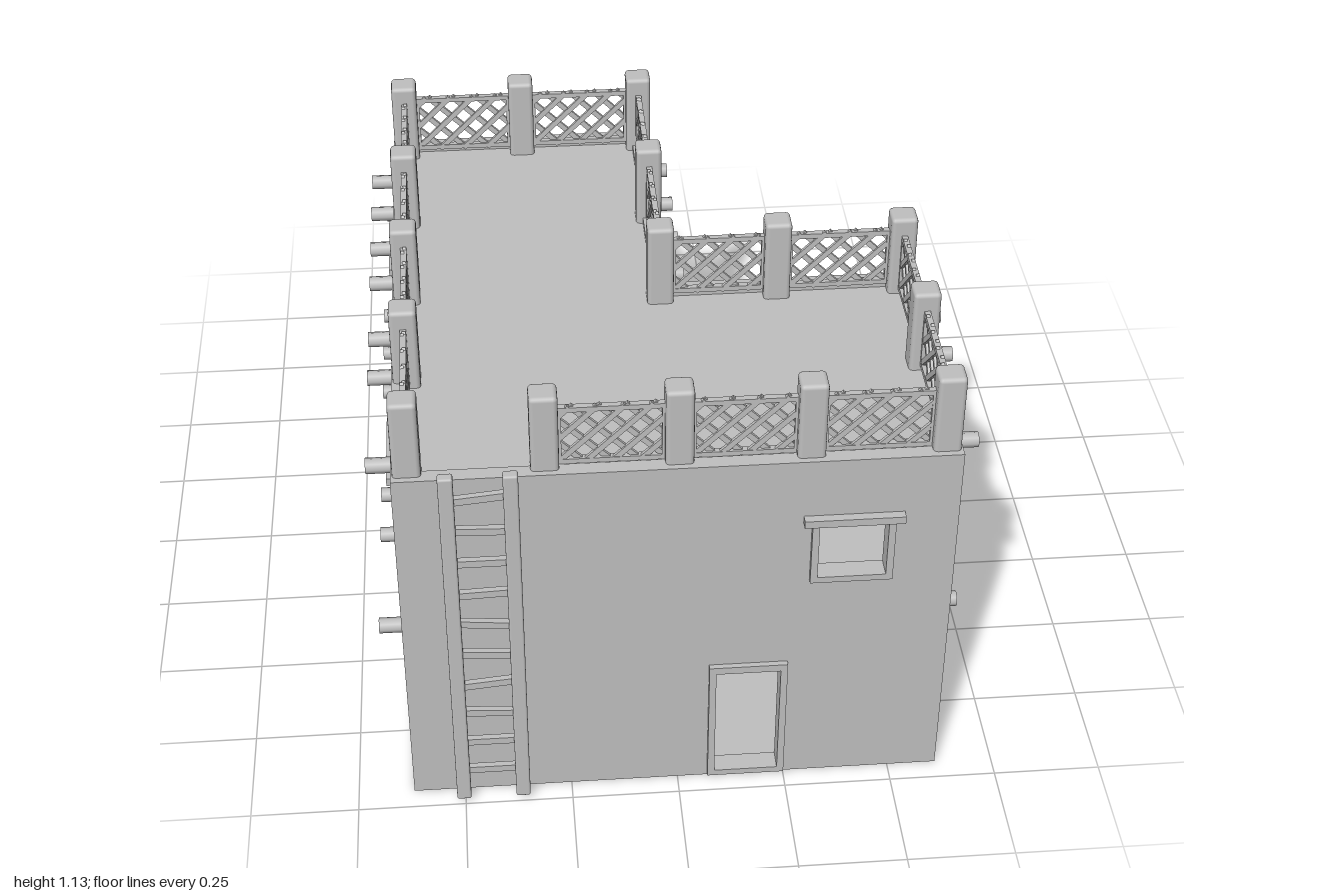
import * as THREE from 'three';
import { mergeGeometries } from 'three/addons/utils/BufferGeometryUtils.js';
import { RoundedBoxGeometry } from 'three/addons/geometries/RoundedBoxGeometry.js';

const adobe = new THREE.MeshStandardMaterial({ color: 0xbfbfbf });
adobe.name = 'adobe grey';

const T = 0.035; // wall thickness
const ROT = { front: 0, right: Math.PI / 2, back: Math.PI, left: -Math.PI / 2 };

function add(parent, name, geometry, x = 0, y = 0, z = 0) {
  const m = new THREE.Mesh(geometry, adobe);
  m.name = name;
  m.position.set(x, y, z);
  parent.add(m);
  return m;
}

// Box given by its minimum and maximum corners
function block(x0, x1, y0, y1, z0, z1) {
  return new THREE.BoxGeometry(x1 - x0, y1 - y0, z1 - z0)
    .translate((x0 + x1) / 2, (y0 + y1) / 2, (z0 + z1) / 2);
}

function rectPath(P, x0, x1, y0, y1) {
  const p = new P();
  p.moveTo(x0, y0); p.lineTo(x1, y0); p.lineTo(x1, y1); p.lineTo(x0, y1); p.closePath();
  return p;
}

// Raised surround of an opening; windows get a wider lintel
function surround(parent, o) {
  const { a, b, y0, y1, kind } = o, w = kind === 'slit' ? 0.007 : 0.016, d = 0.013;
  const parts = [
    block(a - w, a, y0, y1, -T, d), block(b, b + w, y0, y1, -T, d),
    block(a - w, b + w, y0 - w, y0, -T, d),
  ];
  const e = kind === 'window' ? 0.035 : w;
  parts.push(block(a - e, b + e, y1, y1 + w * 1.2, -T, kind === 'window' ? 0.02 : d));
  add(parent, kind + 'Frame', mergeGeometries(parts));
}

// Wall facing one side: 'at' is its plane, s0..s1 its span in world x or z
function wall(root, name, side, at, s0, s1, height, openings = [], beams = []) {
  const g = new THREE.Group();
  g.name = name;
  g.rotation.y = ROT[side];
  if (side === 'front' || side === 'back') g.position.z = at; else g.position.x = at;
  const sign = side === 'front' || side === 'left' ? 1 : -1;
  const span = (p, q) => [Math.min(sign * p, sign * q), Math.max(sign * p, sign * q)];
  const [u0, u1] = span(s0, s1);
  const shape = rectPath(THREE.Shape, u0, u1, 0, height);
  for (const [kind, p, q, y0, y1] of openings) {
    const [a, b] = span(p, q);
    shape.holes.push(rectPath(THREE.Path, a, b, y0, y1));
    surround(g, { a, b, y0, y1, kind });
  }
  add(g, name + 'Panel', new THREE.ExtrudeGeometry(shape, { depth: T, bevelEnabled: false }).translate(0, 0, -T));
  // Projecting roof beam ends
  for (const [y, length, list] of beams) for (const s of list) {
    const beam = new THREE.CylinderGeometry(0.018, 0.018, length + 0.02, 8).rotateX(Math.PI / 2);
    add(g, 'beamEnd', beam, sign * s, y, (length - 0.02) / 2);
  }
  root.add(g);
}

// Horizontal L-shaped slab inside the tall house
function slab(root, name, y0, y1) {
  const p = [[-0.615, 0.945], [0.61, 0.945], [0.61, 0.255], [0.025, 0.255], [0.025, -0.445], [-0.615, -0.445]];
  const shape = new THREE.Shape(p.map(([x, z]) => new THREE.Vector2(x, -z)));
  add(root, name, new THREE.ExtrudeGeometry(shape, { depth: y1 - y0, bevelEnabled: false }).rotateX(-Math.PI / 2), 0, y0, 0);
}

// Lattice panel of length w and height h, centred on x, standing on y = 0
function lattice(w, h) {
  const r = 0.012, t = 0.014, parts = [
    block(-w / 2, w / 2, 0, r, -t / 2, t / 2), block(-w / 2, w / 2, h - r, h, -t / 2, t / 2),
    block(-w / 2, -w / 2 + r, 0, h, -t / 2, t / 2), block(w / 2 - r, w / 2, 0, h, -t / 2, t / 2),
  ];
  const step = 0.06;
  for (let c = -h + step / 2; c < w; c += step) {
    const x0 = Math.max(0, c), x1 = Math.min(w, c + h);
    const len = (x1 - x0) * Math.SQRT2;
    if (len < 0.02) continue;
    for (const s of [1, -1]) {
      parts.push(new THREE.BoxGeometry(len, 0.013, 0.008).rotateZ(s * Math.PI / 4)
        .translate(s * ((x0 + x1) / 2 - w / 2), (x0 + x1) / 2 - c, s * 0.002));
    }
  }
  return mergeGeometries(parts);
}

export function createModel() {
  const root = new THREE.Group();
  root.name = 'adobeHouse';
  const H = 0.935, L = 0.475;

  // Tall house walls
  const wingZ = [0.83, 0.67, 0.51, 0.355];
  wall(root, 'frontWall', 'front', 0.95, -0.62, 0.615, H,
    [['door', 0.086, 0.234, 0.025, 0.335], ['window', 0.306, 0.459, 0.615, 0.765]]);
  wall(root, 'wingSideWall', 'right', 0.615, 0.25, 0.95, H, [
    ['window', 0.685, 0.83, 0.14, 0.285], ['slit', 0.487, 0.518, 0.13, 0.285],
    ['window', 0.352, 0.5, 0.615, 0.76]],
  [[0.88, 0.055, wingZ], [0.41, 0.042, wingZ]]);
  wall(root, 'wingBackWall', 'back', 0.25, 0.03, 0.615, H, [['door', 0.085, 0.23, 0.49, 0.81]]);
  wall(root, 'mainSideWall', 'right', 0.03, -0.45, 0.285, H, [['door', 0.09, 0.215, 0.03, 0.33]],
    [[0.88, 0.05, [0.135, -0.02, -0.18, -0.34]], [0.41, 0.05, [-0.18, -0.34]]]);
  wall(root, 'mainBackWall', 'back', -0.45, -0.62, 0.03, H, [['door', -0.365, -0.215, 0.49, 0.81]]);
  wall(root, 'mainLeftWall', 'left', -0.62, -0.45, 0.95, H, [
    ['window', -0.27, -0.12, 0.615, 0.76], ['window', 0.56, 0.71, 0.615, 0.76],
    ['slit', -0.39, -0.355, 0.13, 0.285]],
  [[0.88, 0.058, [0.82, 0.5, 0.35, 0.12, -0.03, -0.19, -0.34]],
    [0.41, 0.058, [0.82, 0.5, 0.35, -0.07, -0.24, -0.41]]]);
  slab(root, 'groundFloor', 0, 0.02);
  slab(root, 'upperFloor', 0.44, 0.465);
  slab(root, 'mainRoof', 0.895, 0.92);

  // Low back room
  const lowZ = [-0.57, -0.74, -0.91], lowWindow = [['window', -0.765, -0.615, 0.14, 0.285]];
  wall(root, 'lowSideWall', 'right', 0.042, -1, -0.44, L, lowWindow, [[0.41, 0.04, lowZ]]);
  wall(root, 'lowLeftWall', 'left', -0.625, -1, -0.44, L, lowWindow, [[0.41, 0.05, lowZ]]);
  wall(root, 'lowBackWall', 'back', -1, -0.625, 0.042, L);
  add(root, 'lowFloor', block(-0.62, 0.037, 0, 0.02, -0.995, -0.44));
  add(root, 'lowRoof', block(-0.62, 0.037, 0.43, 0.455, -0.995, -0.44));
  add(root, 'lowRoofInnerRim', block(-0.625, 0.042, 0.43, L, -0.465, -0.44));

  // Outside stair with an arched passage below the landing
  const stair = new THREE.Shape(), steps = 16, zTop = 0.09, zEnd = -0.515;
  stair.moveTo(-0.25, 0);
  stair.lineTo(-zEnd, 0);
  const run = (zTop - zEnd) / steps, rise = 0.47 / steps;
  for (let i = 0; i < steps; i++) {
    stair.lineTo(-zEnd - i * run, (i + 1) * rise);
    stair.lineTo(-zEnd - (i + 1) * run, (i + 1) * rise);
  }
  stair.lineTo(-0.25, 0.47);
  stair.closePath();
  const arch = new THREE.Path();
  arch.moveTo(-0.238, 0.02);
  arch.lineTo(-0.072, 0.02);
  arch.lineTo(-0.072, 0.315);
  arch.absarc(-0.155, 0.315, 0.083, 0, Math.PI, false);
  arch.closePath();
  stair.holes.push(arch);
  add(root, 'stair', new THREE.ExtrudeGeometry(stair, { depth: 0.247, bevelEnabled: false, curveSegments: 10 })
    .rotateY(Math.PI / 2), 0.028, 0, 0);

  // Roof railing: posts in order around the roof, lattice between them
  const posts = [
    [-0.29, 0.905], [0, 0.905], [0.285, 0.905], [0.58, 0.905], [0.58, 0.59], [0.58, 0.285],
    [0.285, 0.285], [0.01, 0.285], [0.01, -0.065], [0.01, -0.41], [-0.29, -0.41], [-0.585, -0.41],
    [-0.585, -0.085], [-0.585, 0.245], [-0.585, 0.57], [-0.585, 0.905],
  ];
  const postGeometry = new RoundedBoxGeometry(0.062, 0.23, 0.062, 2, 0.01);
  posts.forEach(([x, z], i) => {
    add(root, 'railingPost', postGeometry, x, 1.012, z);
    if (i === posts.length - 1) return; // gap at the ladder
    const [x2, z2] = posts[i + 1];
    const panel = add(root, 'latticePanel', lattice(Math.hypot(x2 - x, z2 - z) - 0.05, 0.15),
      (x + x2) / 2, 0.933, (z + z2) / 2);
    panel.rotation.y = Math.atan2(-(z2 - z), x2 - x);
  });

  // Ladder on the front wall
  const ladder = new THREE.Group();
  ladder.name = 'ladder';
  for (const x of [-0.503, -0.365]) {
    add(ladder, 'ladderRail', new RoundedBoxGeometry(0.033, 0.96, 0.025, 2, 0.005), x, 0.495, 0.9875);
    for (const y of [0.24, 0.48, 0.91]) add(ladder, 'ladderBracket', block(-0.012, 0.012, -0.008, 0.008, 0.94, 0.98), x, y, 0);
  }
  const tilt = [0, 0, -0.06, 0.1, -0.08, -0.1, 0.04, 0, -0.04, 0.1];
  tilt.forEach((a, i) => {
    const rung = add(ladder, 'ladderRung', new THREE.BoxGeometry(0.125, 0.018, 0.014), -0.434, 0.1 + i * 0.09, 0.984);
    rung.rotation.z = a;
  });
  root.add(ladder);
  return root;
}
